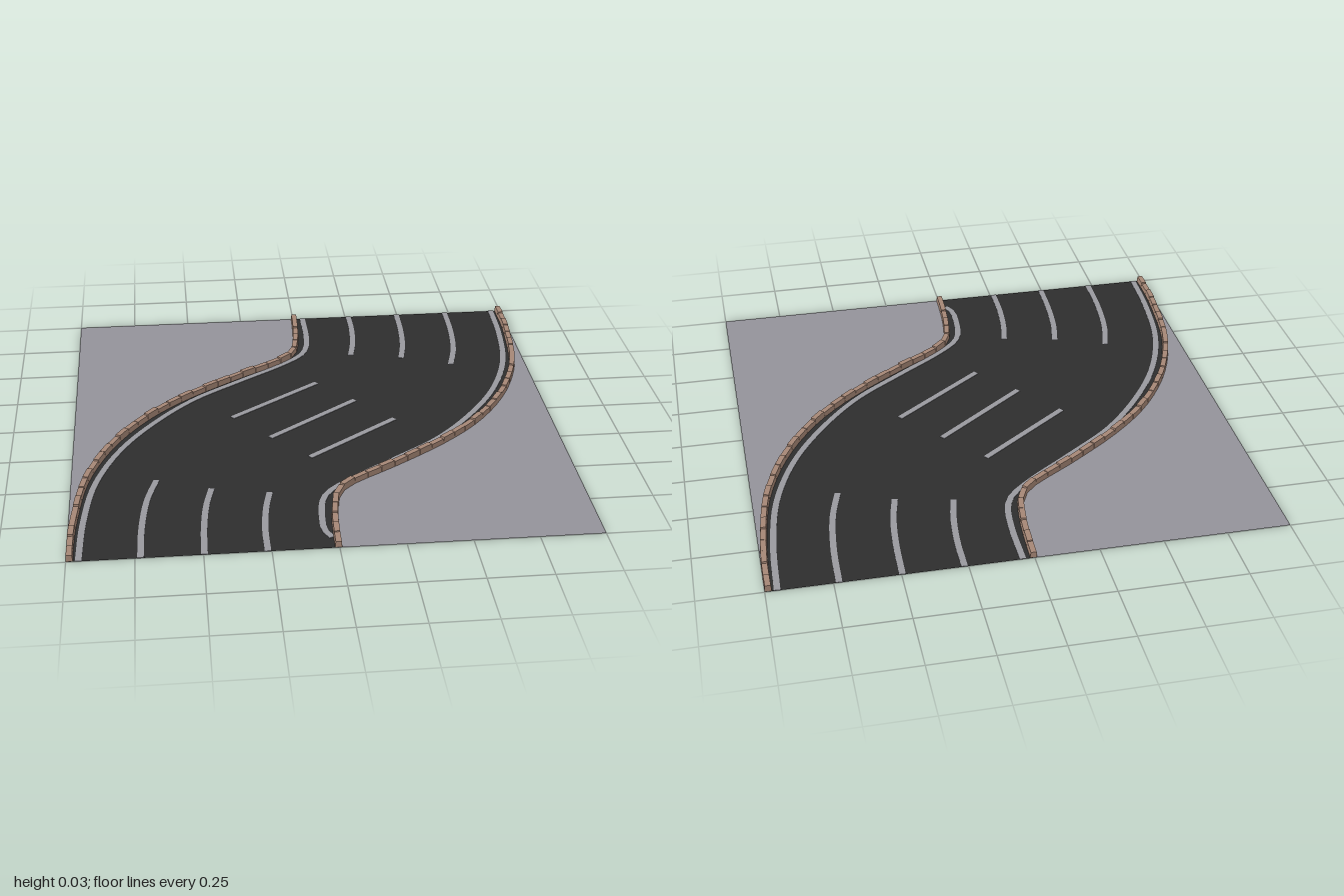
import * as THREE from 'three';

const BASE = 0.001; // height of the flat ground and road surface

// All paths are lists of [x, z]
const curbPath = [[0.004, -1], [0, -0.87], [-0.012, -0.73], [-0.035, -0.62], [-0.085, -0.555], [-0.29, -0.415],
  [-0.5, -0.26], [-0.66, -0.11], [-0.78, 0.05], [-0.87, 0.22], [-0.945, 0.45], [-0.977, 0.7], [-0.987, 0.85], [-0.987, 1]];
const edgeLine = [[0.045, -1], [0.045, -0.8], [0.03, -0.67], [0, -0.605], [-0.09, -0.52], [-0.29, -0.375],
  [-0.5, -0.215], [-0.675, -0.015], [-0.81, 0.2], [-0.905, 0.46], [-0.945, 0.75], [-0.955, 1]];
const shortEdgeLine = [[0.02, -0.93], [0.043, -0.88], ...edgeLine.slice(1)];
const laneDashes = [
  [[0.265, -1], [0.264, -0.85], [0.25, -0.7], [0.228, -0.585]],
  [[0.497, -1], [0.492, -0.82], [0.477, -0.66], [0.452, -0.535]],
  [[0.73, -1], [0.725, -0.8], [0.703, -0.6], [0.665, -0.45]],
];
const middleDashes = [
  [[0.045, -0.325], [-0.34, -0.04]],
  [[0.193, -0.148], [-0.193, 0.148]],
  [[0.34, 0.035], [-0.045, 0.325]],
];

const turn = (path) => path.map(([x, z]) => [-x, -z]);
const curveOf = (path) => new THREE.CatmullRomCurve3(path.map(([x, z]) => new THREE.Vector3(x, 0, z)));
const shapeOf = (pts) => new THREE.Shape(pts.map(([x, z]) => new THREE.Vector2(x, -z)));

// Flat sheet lying at the base height
function sheet(pts, material, name) {
  const mesh = new THREE.Mesh(new THREE.ShapeGeometry(shapeOf(pts)).rotateX(-Math.PI / 2), material);
  mesh.position.y = BASE;
  mesh.name = name;
  return mesh;
}

// Thin painted strip that follows a path
function stripe(path, material, name, width = 0.024) {
  const curve = curveOf(path);
  const n = path.length > 2 ? path.length * 4 : 1;
  const left = [], right = [];
  for (let i = 0; i <= n; i++) {
    const p = curve.getPointAt(i / n), t = curve.getTangentAt(i / n);
    const dx = -t.z * width / 2, dz = t.x * width / 2;
    left.push([p.x + dx, p.z + dz]);
    right.unshift([p.x - dx, p.z - dz]);
  }
  const geometry = new THREE.ExtrudeGeometry(shapeOf([...left, ...right]), { depth: 0.003, bevelEnabled: false });
  const mesh = new THREE.Mesh(geometry.rotateX(-Math.PI / 2), material);
  mesh.name = name;
  return mesh;
}

// Row of stones with slightly tapered tops and uneven heights
function curb(path, material, name) {
  const group = new THREE.Group();
  group.name = name;
  const curve = curveOf(path), count = 34;
  for (let i = 0; i < count; i++) {
    const a = curve.getPointAt(i / count), b = curve.getPointAt((i + 1) / count);
    const height = 0.024 + 0.003 * Math.sin(i * 2.3);
    const geometry = new THREE.BoxGeometry(0.026, height, a.distanceTo(b) - 0.001);
    const pos = geometry.attributes.position;
    for (let k = 0; k < pos.count; k++) {
      if (pos.getY(k) > 0) pos.setXYZ(k, pos.getX(k) * 0.85, pos.getY(k), pos.getZ(k) * 0.96);
    }
    geometry.computeVertexNormals();
    const stone = new THREE.Mesh(geometry, material);
    stone.name = 'curbStone';
    stone.position.copy(a).add(b).multiplyScalar(0.5);
    stone.position.y = BASE + 0.0005 + height / 2;
    stone.rotation.y = Math.atan2(b.x - a.x, b.z - a.z);
    group.add(stone);
  }
  return group;
}

export function createModel() {
  const model = new THREE.Group();
  model.name = 'curvedRoadTile';
  const flat = (name, color) => new THREE.MeshStandardMaterial({ name, color, side: THREE.DoubleSide });
  const pavement = flat('pavementGrey', 0x939299);
  const asphalt = flat('asphalt', 0x2d2d2d);
  const paint = flat('linePaint', 0x98989e);
  const stone = flat('curbBrown', 0xa58675);

  // Road and the pavement on both sides of it
  const border = curveOf(curbPath).getSpacedPoints(68).map((p) => [p.x, p.z]);
  const corner = [...border, [-1, 1], [-1, -1]];
  model.add(
    sheet([...border, ...turn(border)], asphalt, 'road'),
    sheet(corner, pavement, 'rightPavement'),
    sheet(turn(corner), pavement, 'leftPavement'),
  );

  // Curbs
  model.add(curb(curbPath, stone, 'rightCurb'), curb(turn(curbPath), stone, 'leftCurb'));

  // Painted lines
  model.add(stripe(edgeLine, paint, 'rightEdgeLine'), stripe(turn(shortEdgeLine), paint, 'leftEdgeLine'));
  for (const dash of laneDashes) {
    model.add(stripe(dash, paint, 'backLaneDash'), stripe(turn(dash), paint, 'frontLaneDash'));
  }
  for (const dash of middleDashes) model.add(stripe(dash, paint, 'middleLaneDash'));
  return model;
}
